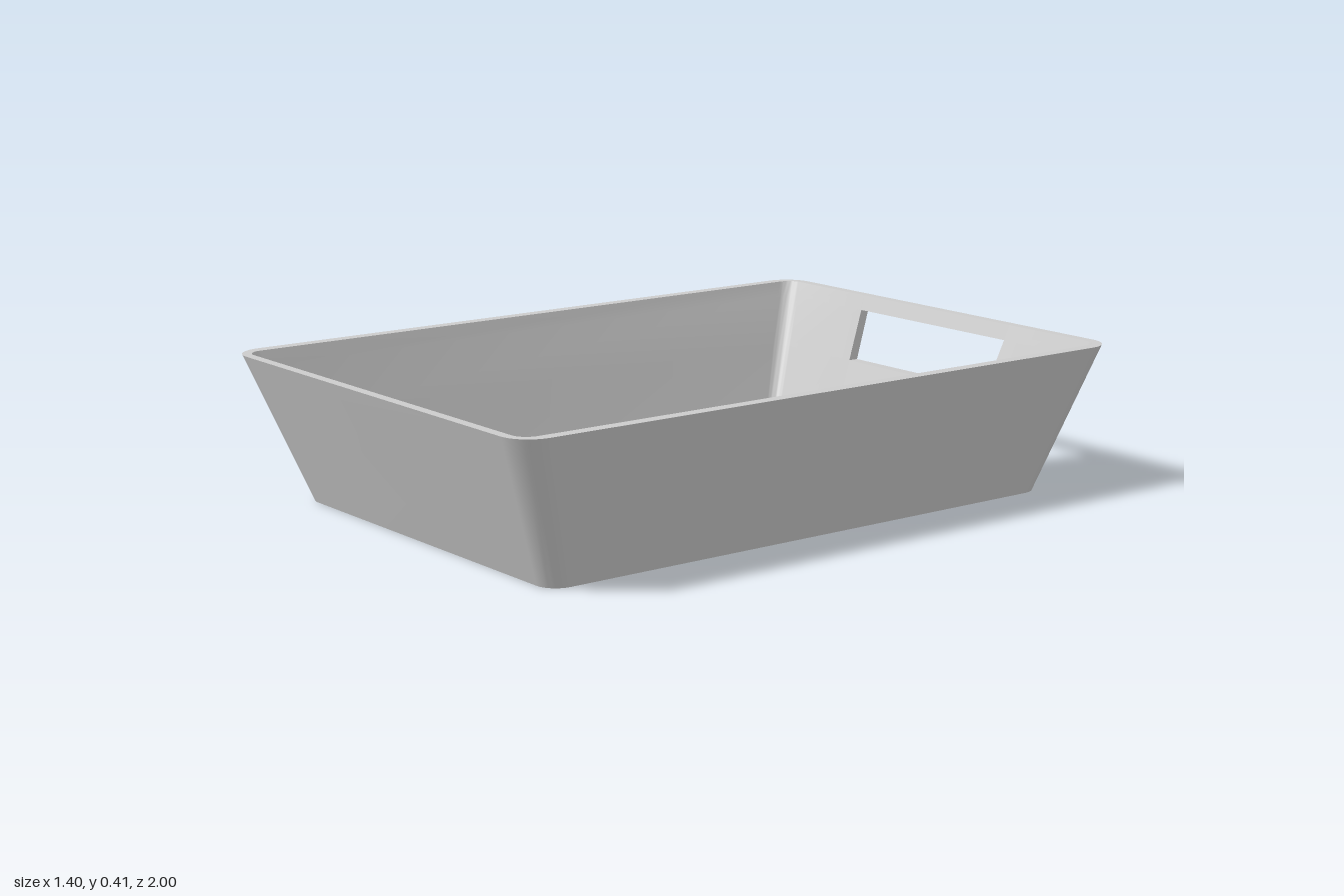
import * as THREE from 'three';
import { toCreasedNormals } from 'three/addons/utils/BufferGeometryUtils.js';

const HEIGHT = 0.415, FLOOR = 0.03;
const HOLE_LOW = 0.225, HOLE_HIGH = 0.372;
const STEPS = 10; // segments per rounded corner

// half width, half depth and corner radius at the bottom and top of each wall
const OUTER = { y0: 0, bottom: [0.587, 0.84, 0.06], top: [0.7, 1.0, 0.085] };
const INNER = { y0: FLOOR, bottom: [0.56, 0.817, 0.03], top: [0.666, 0.972, 0.045] };

// Rounded rectangle at height y, with two extra points on the back side
// where the sides of the handle slot run.
function ring(wall, y) {
  const t = (y - wall.y0) / (HEIGHT - wall.y0);
  const [w, d, r] = wall.bottom.map((b, i) => THREE.MathUtils.lerp(b, wall.top[i], t));
  const slot = THREE.MathUtils.mapLinear(y, HOLE_LOW, HOLE_HIGH, 0.295, 0.31);
  const points = [];
  [[1, 1], [-1, 1], [-1, -1], [1, -1]].forEach(([sx, sz], q) => {
    if (q === 3) points.push([-slot, y, -d], [slot, y, -d]);
    for (let i = 0; i <= STEPS; i++) {
      const a = (q + i / STEPS) * Math.PI / 2;
      points.push([sx * (w - r) + r * Math.cos(a), y, sz * (d - r) + r * Math.sin(a)]);
    }
  });
  return points;
}

function trayGeometry() {
  // up the outside, over the rim, down the inside
  const rings = [
    ...[0, HOLE_LOW, HOLE_HIGH, HEIGHT].map(y => ring(OUTER, y)),
    ...[HEIGHT, HOLE_HIGH, HOLE_LOW, FLOOR].map(y => ring(INNER, y)),
  ];
  const n = rings[0].length, last = rings.length - 1;
  const slotL = 3 * (STEPS + 1), slotR = slotL + 1;
  const positions = rings.flat(2);
  const index = [];
  const id = (r, i) => r * n + (i % n);
  const quad = (a, b, c, d) => index.push(a, b, d, b, c, d);
  const strip = (r, s, i) => quad(id(r, i), id(s, i), id(s, i + 1), id(r, i + 1));

  // walls and rim, leaving the slot open in the back wall
  for (let r = 0; r < last; r++) {
    for (let i = 0; i < n; i++) {
      if (i === slotL && (r === 1 || r === 5)) continue;
      strip(r, r + 1, i);
    }
  }

  // faces inside the slot: bottom, top, two sides
  strip(1, 6, slotL);
  strip(5, 2, slotL);
  quad(id(1, slotL), id(2, slotL), id(5, slotL), id(6, slotL));
  quad(id(6, slotR), id(5, slotR), id(2, slotR), id(1, slotR));

  // underside and inner floor
  const under = positions.length / 3, floor = under + 1;
  positions.push(0, 0, 0, 0, FLOOR, 0);
  for (let i = 0; i < n; i++) {
    index.push(under, id(0, i), id(0, i + 1));
    index.push(floor, id(last, i + 1), id(last, i));
  }

  const geometry = new THREE.BufferGeometry();
  geometry.setAttribute('position', new THREE.Float32BufferAttribute(positions, 3));
  geometry.setIndex(index);
  return toCreasedNormals(geometry, 0.5);
}

export function createModel() {
  const group = new THREE.Group();
  group.name = 'tray';
  const body = new THREE.Mesh(trayGeometry(), new THREE.MeshStandardMaterial({ color: 0xcccccc }));
  body.name = 'trayBody';
  group.add(body);
  return group;
}
